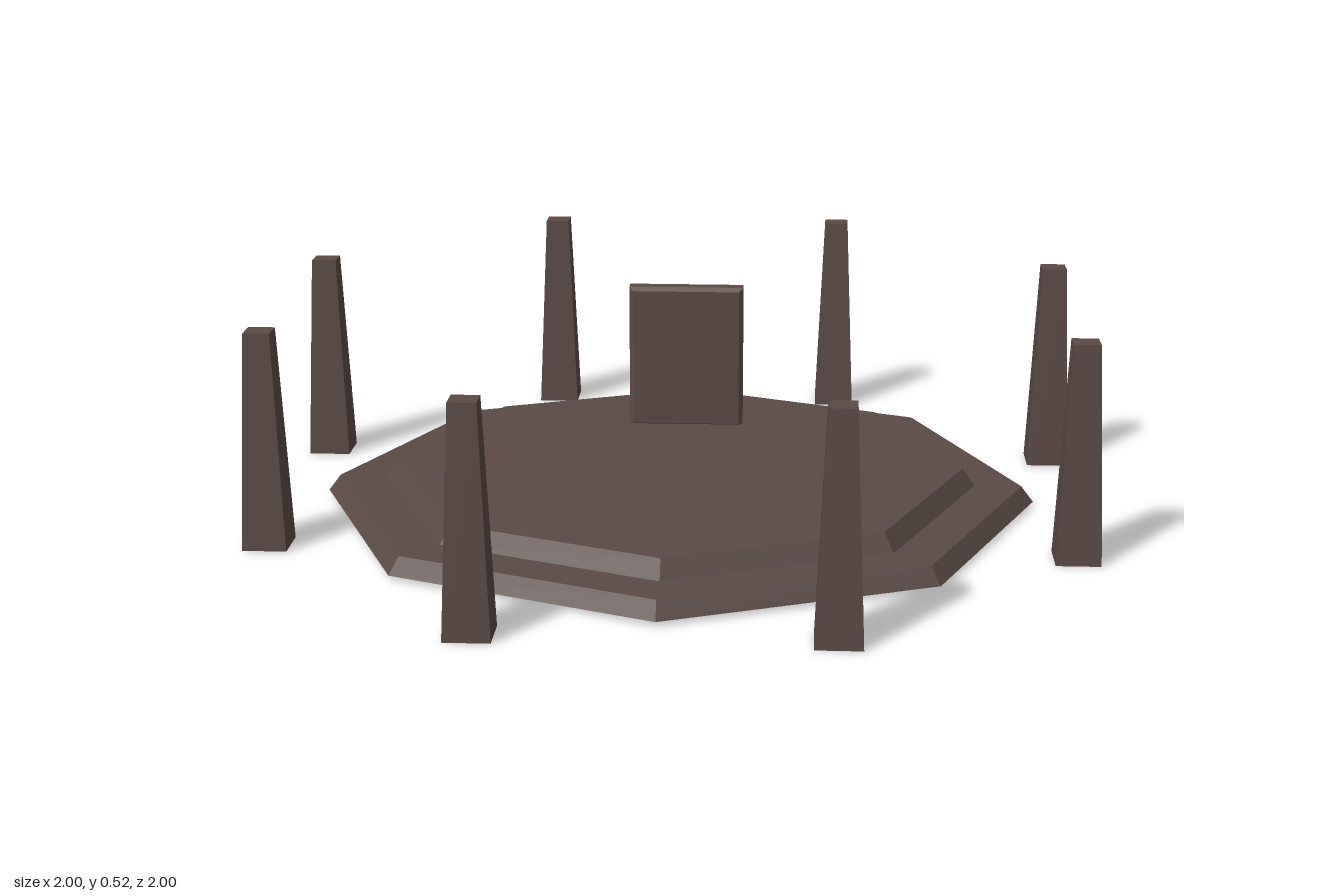
import * as THREE from 'three';

export function createModel() {
  const model = new THREE.Group();
  const stone = new THREE.MeshStandardMaterial({ color: 0x5a4a45, flatShading: true });

  function add(name, geometry, x, y, z) {
    const mesh = new THREE.Mesh(geometry, stone);
    mesh.name = name;
    mesh.position.set(x, y, z);
    model.add(mesh);
    return mesh;
  }

  // Two stacked octagonal steps with sloping rims, corners on the axes
  const steps = [
    { name: 'lowerStep', top: 0.85, bottom: 0.88, y0: 0.01, y1: 0.05 },
    { name: 'upperStep', top: 0.704, bottom: 0.735, y0: 0.05, y1: 0.093 },
  ];
  for (const s of steps) {
    const h = s.y1 - s.y0;
    add(s.name, new THREE.CylinderGeometry(s.top, s.bottom, h, 8), 0, s.y0 + h / 2, 0);
  }

  // Upright slab with chamfered edges, standing towards the back
  const bevel = 0.01;
  const w = 0.148 - bevel, bottom = 0.085 + bevel, top = 0.46 - bevel;
  const outline = new THREE.Shape([
    new THREE.Vector2(-w, bottom), new THREE.Vector2(w, bottom),
    new THREE.Vector2(w, top), new THREE.Vector2(-w, top),
  ]);
  const slab = new THREE.ExtrudeGeometry(outline, {
    depth: 0.055 - 2 * bevel, bevelEnabled: true,
    bevelSize: bevel, bevelThickness: bevel, bevelSegments: 1,
  });
  add('uprightSlab', slab, 0, 0, -0.41 + bevel);

  // Ring of eight tapered square pillars, all aligned with the axes
  const height = 0.52, ring = 1.025;
  const pillar = new THREE.CylinderGeometry(0.031 * Math.SQRT2, 0.0525 * Math.SQRT2, height, 4);
  pillar.rotateY(Math.PI / 4);
  for (let i = 0; i < 8; i++) {
    const a = (i + 0.5) * Math.PI / 4;
    add('pillar' + (i + 1), pillar, ring * Math.cos(a), height / 2, ring * Math.sin(a));
  }

  return model;
}
